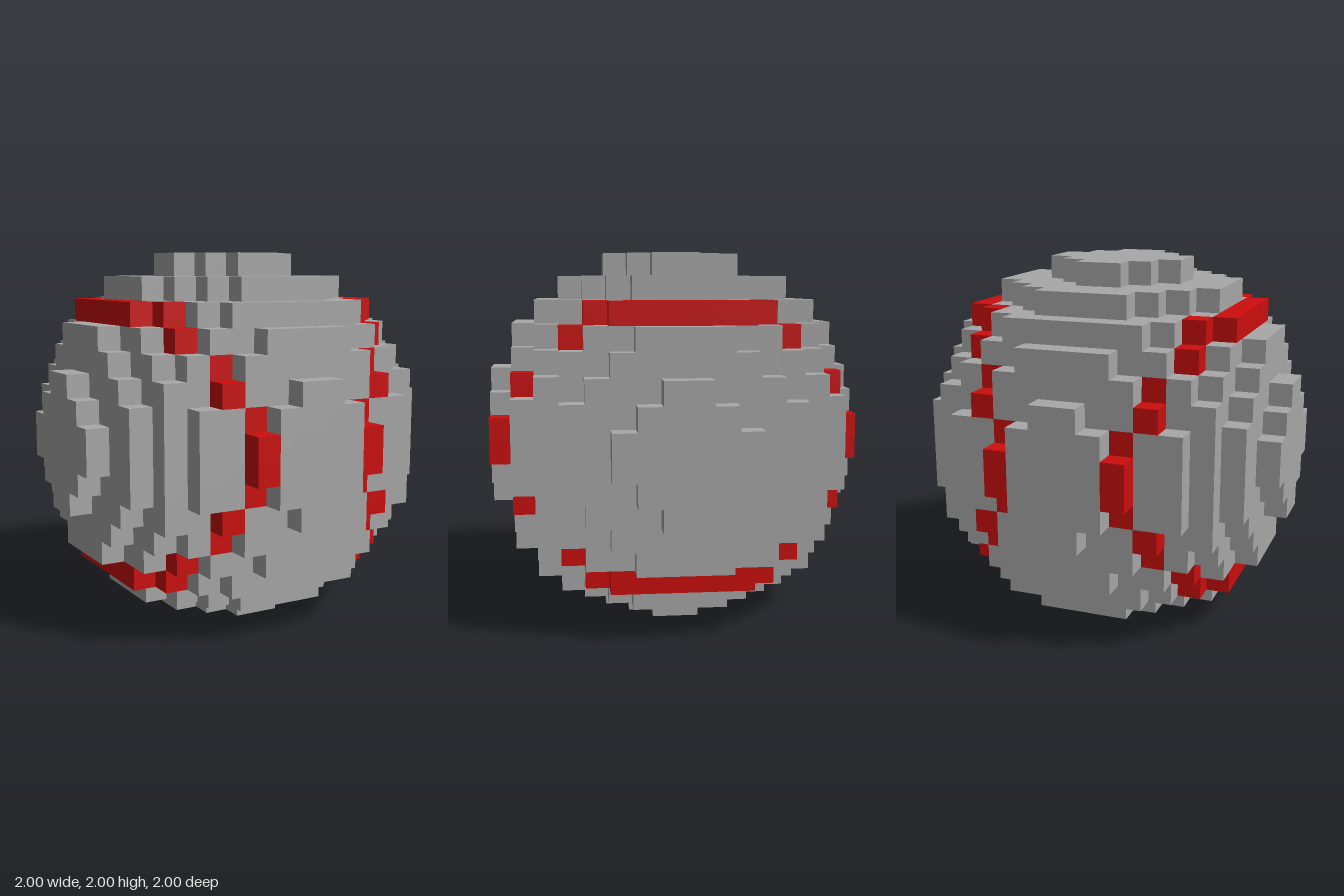
import * as THREE from 'three';

const N = 16;          // blocks across the ball
const S = 2 / N;       // block size

// index 0..15 -> distance in blocks from the middle plane, 0..7
const ring = i => (i < N / 2 ? N / 2 - 1 - i : i - N / 2);

// Rounded steps that fill out the plain sphere rule
const extraSteps = new Set(['6,4,1', '5,5,2']);

function isSolid(i, j, k) {
  if ([i, j, k].some(n => n < 0 || n >= N)) return false;
  const d = [ring(i), ring(j), ring(k)].sort((a, b) => b - a);
  const r2 = d.reduce((sum, n) => sum + (n + 0.5) ** 2, 0);
  return r2 <= 64 || extraSteps.has(d.join());
}

// Stitch path in one octant (x, y, z rings), mirrored to all eight
const stitches = new Set(['2,0,7', '2,1,6', '3,2,6', '3,3,5', '4,4,4', '4,5,3', '5,5,2', '5,5,1', '5,5,0']);
const isStitch = (i, j, k) => stitches.has([ring(i), ring(j), ring(k)].join());

// Outer faces of all blocks chosen by the filter
function blockSurface(filter) {
  const pos = [], nor = [], idx = [];
  const addFace = (cell, axis, dir) => {
    const u = (axis + 1) % 3, v = (axis + 2) % 3;
    const base = pos.length / 3;
    for (const [a, b] of [[0, 0], [1, 0], [1, 1], [0, 1]]) {
      const p = [...cell];
      p[axis] += dir > 0 ? 1 : 0;
      p[u] += a;
      p[v] += b;
      pos.push(p[0] * S - 1, p[1] * S, p[2] * S - 1);
      const n = [0, 0, 0];
      n[axis] = dir;
      nor.push(...n);
    }
    const order = dir > 0 ? [0, 1, 2, 0, 2, 3] : [0, 2, 1, 0, 3, 2];
    idx.push(...order.map(o => base + o));
  };
  for (let i = 0; i < N; i++) for (let j = 0; j < N; j++) for (let k = 0; k < N; k++) {
    if (!isSolid(i, j, k) || !filter(i, j, k)) continue;
    for (let axis = 0; axis < 3; axis++) for (const dir of [-1, 1]) {
      const next = [i, j, k];
      next[axis] += dir;
      if (!isSolid(...next)) addFace([i, j, k], axis, dir);
    }
  }
  const g = new THREE.BufferGeometry();
  g.setAttribute('position', new THREE.Float32BufferAttribute(pos, 3));
  g.setAttribute('normal', new THREE.Float32BufferAttribute(nor, 3));
  g.setIndex(idx);
  return g;
}

export function createModel() {
  const group = new THREE.Group();
  group.name = 'blockBall';

  const grey = new THREE.MeshStandardMaterial({ color: 0xa8a8a8 });
  grey.name = 'grey';
  const red = new THREE.MeshStandardMaterial({ color: 0xcc0d0d });
  red.name = 'red';

  // Ball body
  const body = new THREE.Mesh(blockSurface((i, j, k) => !isStitch(i, j, k)), grey);
  body.name = 'ballBody';

  // Curved seams on both sides
  for (const [name, side] of [['leftStitching', i => i >= N / 2], ['rightStitching', i => i < N / 2]]) {
    const seam = new THREE.Mesh(blockSurface((i, j, k) => side(i) && isStitch(i, j, k)), red);
    seam.name = name;
    group.add(seam);
  }

  group.add(body);
  return group;
}
